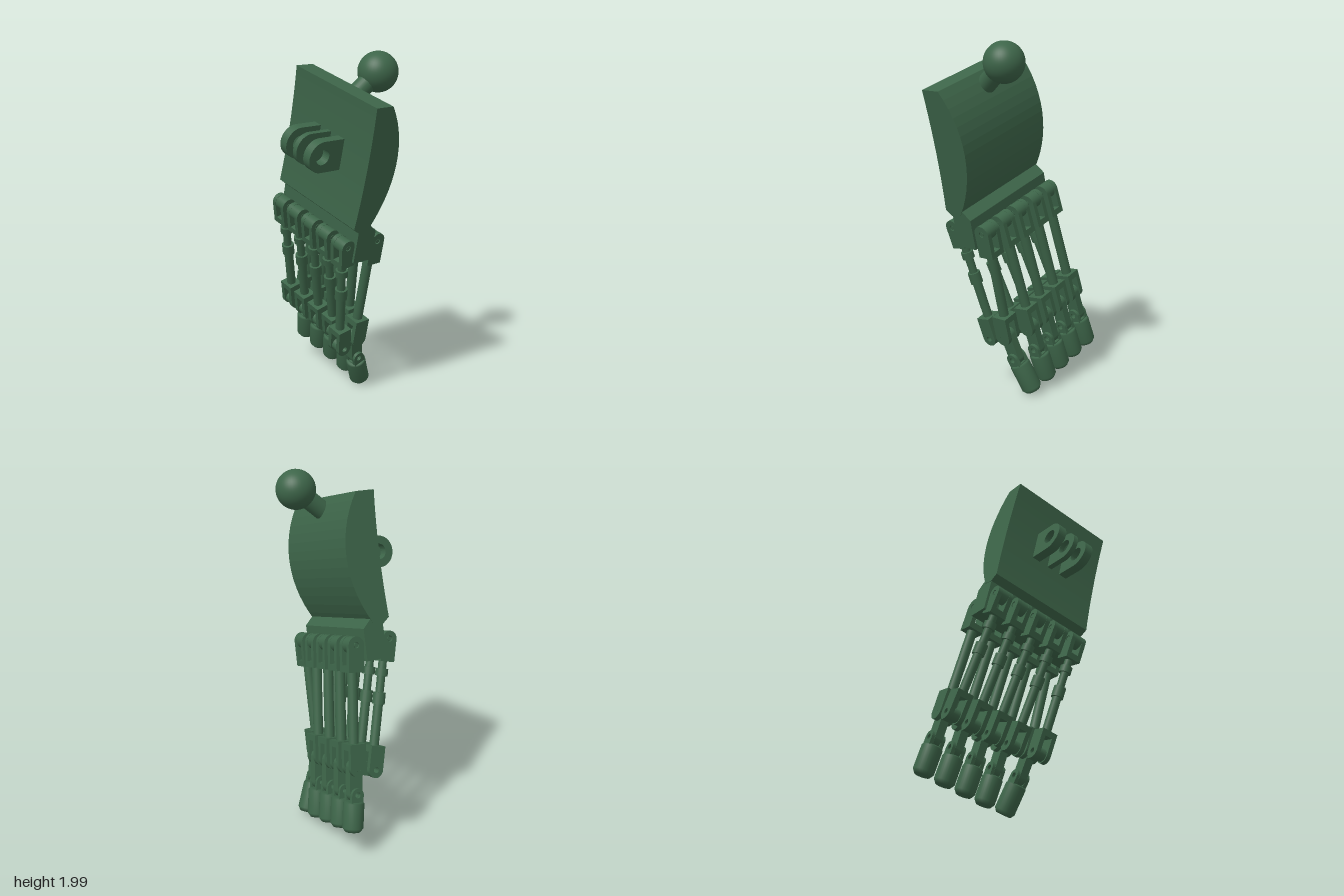
import * as THREE from 'three';

const mat = new THREE.MeshStandardMaterial({ color: 0x3d6549 });
const V = (z, y) => new THREE.Vector2(z, y); // a point in the side plane

function mesh(geo, name) {
  const m = new THREE.Mesh(geo, mat);
  m.name = name;
  return m;
}

// Extrude a side-plane shape (z, y) across x, centred on x
function slab(shape, width, x, name) {
  const geo = new THREE.ExtrudeGeometry(shape, { depth: width, bevelEnabled: false, curveSegments: 14 });
  geo.rotateY(-Math.PI / 2).translate(x + width / 2, 0, 0);
  return mesh(geo, name);
}

function punch(shape, p, r) {
  shape.holes.push(new THREE.Path().absarc(p.x, p.y, r, 0, Math.PI * 2, true));
}

// Bar with rounded ends and pin holes
function bar(a, b, r, width, x, name, holes) {
  const t = Math.atan2(b.y - a.y, b.x - a.x), q = Math.PI / 2;
  const s = new THREE.Shape();
  s.absarc(a.x, a.y, r, t + q, t + 3 * q, false);
  s.absarc(b.x, b.y, r, t - q, t + q, false);
  s.closePath();
  holes.forEach(([p, hr]) => punch(s, p, hr));
  return slab(s, width, x, name);
}

function rod(top, bottom, y0, y1, name, sides = 20) {
  const geo = new THREE.CylinderGeometry(top, bottom, y0 - y1, sides);
  geo.translate(0, (y0 + y1) / 2, 0);
  return mesh(geo, name);
}

// Fork: pin at the origin, closed end at -length
function clevis(r, length, name, barrel) {
  const g = new THREE.Group();
  g.name = name;
  const s = new THREE.Shape();
  s.absarc(0, 0, r, 0, Math.PI, false);
  s.lineTo(-r, -length);
  s.lineTo(r, -length);
  s.closePath();
  punch(s, V(0, 0), 0.016);
  for (const side of [-1, 1]) g.add(slab(s, 0.026, side * 0.036, 'forkCheek'));
  const base = new THREE.BoxGeometry(0.05, 0.035, r * 2);
  g.add(mesh(base.translate(0, -length + 0.0175, 0), 'forkBase'));
  if (barrel) {
    const eye = new THREE.CylinderGeometry(r - 0.001, r - 0.001, 0.048, 24);
    g.add(mesh(eye.rotateZ(Math.PI / 2), 'eye'));
    const pin = new THREE.CylinderGeometry(0.012, 0.012, 0.094, 16);
    g.add(mesh(pin.rotateZ(Math.PI / 2), 'pin'));
  }
  return g;
}

// Group at a, with its -y axis pointing to b
function aim(x, a, b, name) {
  const g = new THREE.Group();
  g.name = name;
  g.position.set(x, a.y, a.x);
  g.rotation.x = Math.atan2(a.x - b.x, a.y - b.y);
  return g;
}

// Link with a fork at each end
function link(x, a, b, r, name, adjustable) {
  const g = aim(x, a, b, name), len = a.distanceTo(b);
  const low = clevis(r, 0.13, 'lowerFork', false);
  low.position.y = -len;
  low.rotation.z = Math.PI;
  g.add(clevis(r, adjustable ? 0.125 : 0.145, 'upperFork', true), low);
  if (adjustable) {
    g.add(rod(0.023, 0.023, -0.11, -0.34, 'upperRod'));
    g.add(rod(0.035, 0.035, -0.165, -0.205, 'upperNut'));
    g.add(rod(0.035, 0.035, -0.295, -0.36, 'turnbuckle'));
    g.add(rod(0.026, 0.026, -0.35, -len + 0.12, 'lowerRod'));
  } else {
    g.add(rod(0.028, 0.028, -0.13, -len + 0.12, 'rod'));
  }
  return g;
}

function finger(x, bend) {
  const g = new THREE.Group();
  g.name = 'finger';
  const front = V(bend.front, -1.49), rear = V(bend.rear, -1.455);
  const joint = V(bend.joint, -1.6), end = V(bend.end, -1.8);
  g.add(link(x, V(0.1, -0.8), front, 0.043, 'frontLink', true));
  g.add(link(x, V(-0.112, -0.8), rear, 0.047, 'rearLink', false));

  // Rocker joining both links to the fingertip
  g.add(bar(rear, front, 0.036, 0.046, x, 'rockerArm', [[front, 0.016]]));
  g.add(bar(rear, joint, 0.038, 0.048, x, 'middleBone', [[joint, 0.014]]));
  const pin = new THREE.CylinderGeometry(0.016, 0.016, 0.098, 16);
  g.add(mesh(pin.rotateZ(Math.PI / 2).translate(x, rear.y, rear.x), 'rockerPin'));

  // Fingertip with a small fork and chamfered end
  const tip = aim(x, joint, end, 'fingertip');
  const len = joint.distanceTo(end);
  const fork = clevis(0.036, 0.07, 'tipFork', false);
  fork.scale.x = 0.85;
  const profile = [V(0, -len), V(0.042, -len), V(0.058, -len + 0.022), V(0.058, -0.048), V(0.05, -0.04), V(0, -0.04)];
  const body = new THREE.LatheGeometry(profile, 28);
  tip.add(fork, mesh(body, 'tipBody'));
  g.add(tip);
  return g;
}

export function createModel() {
  const model = new THREE.Group();
  model.name = 'mechanicalHand';
  const hand = new THREE.Group();
  hand.name = 'hand';
  hand.position.set(0.2125, 1.84, 0);
  hand.rotation.z = -0.243;
  model.add(hand);

  // Palm: domed back, slightly hollow front
  const palm = new THREE.Shape();
  palm.moveTo(0.1, 0);
  palm.lineTo(-0.01, 0);
  palm.bezierCurveTo(-0.15, -0.2, -0.155, -0.46, 0.0, -0.7);
  palm.lineTo(0.06, -0.71);
  palm.lineTo(0.1, -0.68);
  palm.quadraticCurveTo(0.075, -0.34, 0.1, 0);
  hand.add(slab(palm, 0.665, 0, 'palm'));

  // Knuckle block
  const block = new THREE.Shape([V(0.06, -0.66), V(0, -0.66), V(-0.064, -0.72), V(-0.064, -0.895), V(0.056, -0.895)]);
  hand.add(slab(block, 0.66, 0, 'knuckleBlock'));

  // Mounting lugs on the front
  [[-0.1, 0.052], [0, 0.03], [0.1, 0.052]].forEach(([x, w]) => {
    const c = V(0.217, -0.335);
    hand.add(bar(V(0.06, -0.335), c, 0.088, w, x, 'mountingLug', [[c, 0.043]]));
  });

  // Wrist ball and neck
  const ball = mesh(new THREE.SphereGeometry(0.11, 40, 28), 'wristBall');
  ball.position.set(0, 0.056, -0.186);
  const neck = aim(0, V(-0.186, 0.056), V(-0.02, -0.09), 'wristNeck');
  neck.add(rod(0.053, 0.053, -0.05, -0.22, 'neck', 28));
  hand.add(ball, neck);

  // Five fingers, the outer left one flexed differently
  const relaxed = { front: -0.085, rear: -0.192, joint: -0.212, end: -0.25 };
  const flexed = { front: -0.022, rear: -0.127, joint: -0.163, end: -0.248 };
  for (let i = 0; i < 5; i++) {
    hand.add(finger((i - 2) * 0.1335, i === 4 ? flexed : relaxed));
  }
  return model;
}
